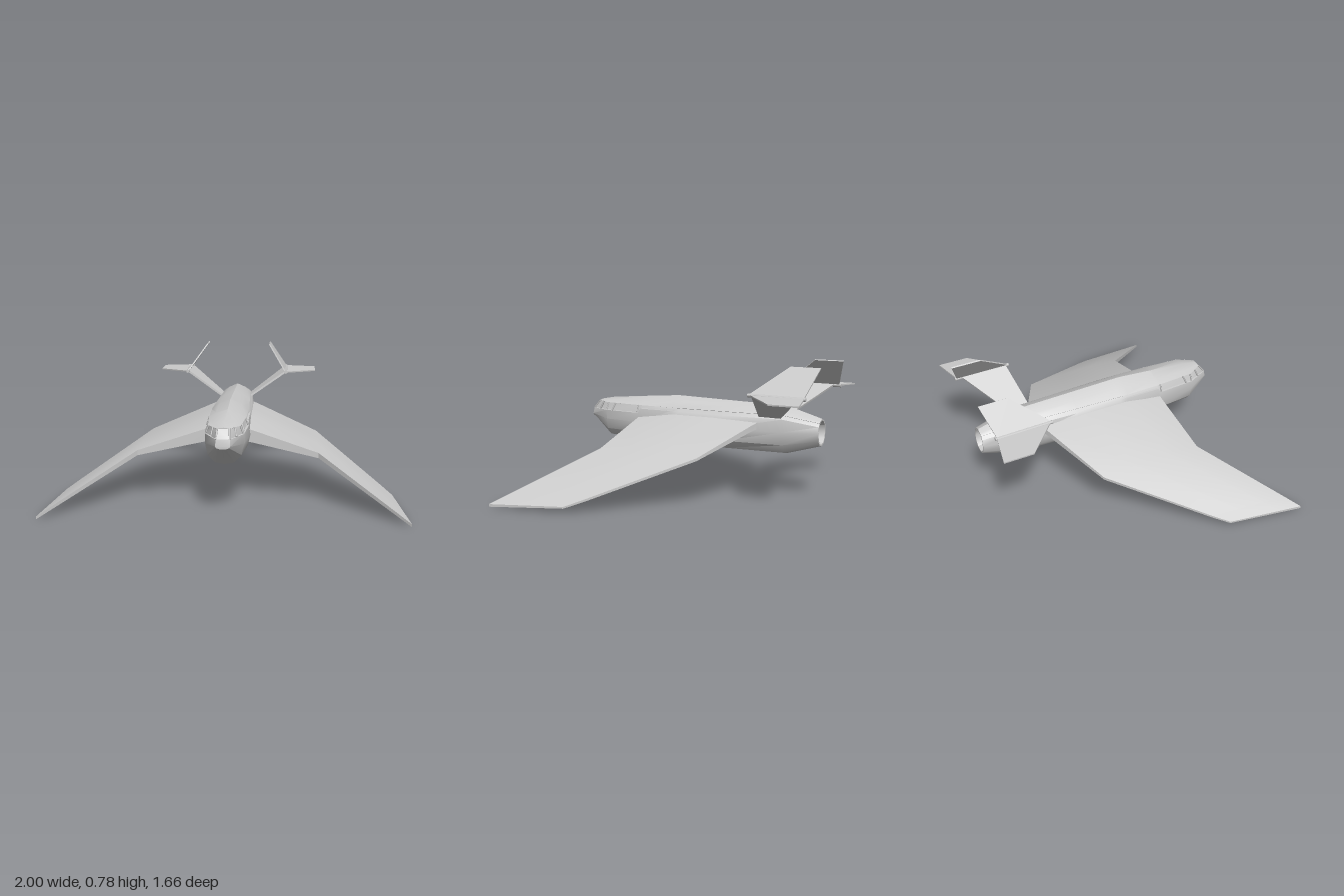
import * as THREE from 'three';
import { toCreasedNormals } from 'three/addons/utils/BufferGeometryUtils.js';

const grey = new THREE.MeshStandardMaterial({ color: 0xcccccc });

// Skin closed rings of [x, y, z] points; each ring runs anticlockwise seen from the first end.
function loft(rings, crease = 0.6) {
  const n = rings[0].length, index = [];
  const quad = (a, b, c, d) => {
    if (b !== c) index.push(a, b, c);
    if (a !== d && c !== d) index.push(a, c, d);
  };
  for (let r = 0; r < rings.length - 1; r++) {
    for (let i = 0; i < n; i++) {
      const j = (i + 1) % n, p = r * n, q = p + n;
      quad(p + i, q + i, q + j, p + j);
    }
  }
  // End caps, bridged side to side
  const last = (rings.length - 1) * n;
  for (let i = 0; i < n / 2; i++) {
    const a = i, b = i + 1, c = n - i - 1, d = (n - i) % n;
    if (a !== d) quad(a, b, c, d); else index.push(a, b, c);
    if (a !== d) quad(last + d, last + c, last + b, last + a);
    else index.push(last + c, last + b, last + a);
  }
  const g = new THREE.BufferGeometry();
  g.setAttribute('position', new THREE.Float32BufferAttribute(rings.flat(2), 3));
  g.setIndex(index);
  return toCreasedNormals(g, crease);
}

function add(parent, name, geometry) {
  const mesh = new THREE.Mesh(geometry, grey);
  mesh.name = name;
  parent.add(mesh);
  return mesh;
}

// Thin plate from four corners
function plate(corners, thickness) {
  const v = corners.map(c => new THREE.Vector3(...c));
  const n = v[1].clone().sub(v[0]).cross(v[3].clone().sub(v[0])).setLength(thickness / 2);
  const side = s => v.map(p => p.clone().addScaledVector(n, s).toArray());
  return loft([side(1), side(-1)]);
}

// Straight bar between two points
function bar(a, b, radius, sides = 6) {
  const p = new THREE.Vector3(...a), d = new THREE.Vector3(...b).sub(p);
  const g = new THREE.CylinderGeometry(radius, radius, d.length(), sides);
  g.applyQuaternion(new THREE.Quaternion().setFromUnitVectors(
    new THREE.Vector3(0, 1, 0), d.clone().normalize()));
  return g.translate(...p.addScaledVector(d, 0.5).toArray());
}

// Fuselage section with a recessed window band between shelf and roof edge
function section([z, rake, bottom, mid, w, shelfY, shelfW, roofY, roofW, top, groove]) {
  const h = mid - bottom, zs = z - rake * 0.15, zr = z - rake;
  const half = [
    [0, bottom, z],
    [w * 0.5, bottom + h * 0.08, z],
    [w * 0.87, bottom + h * 0.45, z],
    [w, mid, z],
    [shelfW, shelfY, zs],
    [shelfW - groove, shelfY + 0.001, zs],
    [roofW - groove, roofY - 0.002, zr],
    [roofW, roofY, zr],
    [roofW * 0.62, roofY + (top - roofY) * 0.5, zr],
    [0, top, zr],
  ];
  return [...half, ...half.slice(1, -1).reverse().map(([x, y, zz]) => [-x, y, zz])];
}

export function createModel() {
  const model = new THREE.Group();
  model.name = 'aircraft';

  // Fuselage: z, rake, bottom, mid, width, shelf y/w, roof y/w, top, groove
  const rings = [
    [0.74, 0.05, 0.385, 0.4, 0.04, 0.437, 0.038, 0.487, 0.034, 0.493, 0.003],
    [0.6, 0, 0.27, 0.385, 0.107, 0.44, 0.106, 0.487, 0.09, 0.51, 0.01],
    [0.37, 0, 0.265, 0.385, 0.13, 0.44, 0.122, 0.487, 0.106, 0.53, 0.012],
    [0.35, 0, 0.264, 0.385, 0.132, 0.467, 0.118, 0.487, 0.107, 0.532, 0.012],
    [0.14, 0, 0.256, 0.385, 0.14, 0.467, 0.118, 0.487, 0.11, 0.549, 0.01],
    [0.09, 0, 0.255, 0.385, 0.14, 0.467, 0.118, 0.487, 0.11, 0.548, 0.001],
    [-0.2, 0, 0.25, 0.39, 0.135, 0.465, 0.115, 0.487, 0.1, 0.541, 0.001],
    [-0.57, 0, 0.25, 0.39, 0.108, 0.465, 0.1, 0.487, 0.085, 0.532, 0.001],
    [-0.78, 0, 0.31, 0.39, 0.068, 0.43, 0.06, 0.45, 0.046, 0.47, 0.001],
  ].map(section);
  // Hollow exhaust
  const inset = (s, z) => rings[8].map(([x, y]) => [x * s, 0.39 + (y - 0.39) * s, z]);
  rings.push(inset(0.88, -0.78), inset(0.8, -0.68));
  add(model, 'fuselage', loft(rings, 0.55));

  // Wing stations, root to tip: leading x, z, low, top; trailing x, z, low, top; camber
  const wing = [
    [0.09, 0.36, 0.348, 0.425, 0.09, -0.435, 0.405, 0.445, 0.03],
    [0.145, 0.36, 0.338, 0.41, 0.15, -0.405, 0.39, 0.425, 0.025],
    [0.52, 0.39, 0.26, 0.29, 0.52, -0.23, 0.272, 0.288, 0.012],
    [0.93, 0.766, 0.042, 0.06, 0.885, 0.28, 0.067, 0.08, 0.004],
    [1.0, 0.83, 0.005, 0.02, 0.945, 0.37, 0.035, 0.045, 0],
  ];
  const wingRings = s => wing.map(([lx, lz, lb, lt, tx, tz, tb, tt, camber]) => {
    const upper = (t, k) => [s * (lx + (tx - lx) * t), lt + (tt - lt) * t + camber * k, lz + (tz - lz) * t];
    const ring = [[s * lx, lb, lz], upper(0, 0), upper(0.3, 1), upper(0.65, 0.7), upper(1, 0), [s * tx, tb, tz]];
    return s > 0 ? ring : ring.reverse();
  });

  for (const s of [1, -1]) {
    const side = s > 0 ? 'left' : 'right';
    const m = ([x, y, z]) => [s * x, y, z];
    add(model, side + 'Wing', loft(wingRings(s), 0.6));

    // Tail: strut fin, rod at its end, then an upright and an outward fin
    const tail = new THREE.Group();
    tail.name = side + 'Tail';
    model.add(tail);
    add(tail, 'strutFin', plate([[0.085, 0.468, -0.425], [0.32, 0.628, -0.47],
      [0.32, 0.628, -0.75], [0.085, 0.468, -0.555]].map(m), 0.012));
    add(tail, 'finRod', bar(m([0.322, 0.628, -0.45]), m([0.322, 0.624, -0.79]), 0.011));
    add(tail, 'uprightFin', plate([[0.32, 0.63, -0.455], [0.21, 0.785, -0.66],
      [0.21, 0.785, -0.835], [0.32, 0.63, -0.78]].map(m), 0.008));
    add(tail, 'outerFin', plate([[0.32, 0.626, -0.46], [0.518, 0.614, -0.645],
      [0.518, 0.614, -0.82], [0.32, 0.626, -0.78]].map(m), 0.008));

    // Window posts
    const posts = [
      [[0.037, 0.437, 0.731], [0.033, 0.487, 0.69]],
      [[0.07, 0.439, 0.667], [0.06, 0.487, 0.645]],
      [[0.104, 0.44, 0.6], [0.087, 0.487, 0.595]],
      [[0.107, 0.44, 0.56], [0.092, 0.487, 0.54]],
      [[0.119, 0.44, 0.372], [0.103, 0.487, 0.372]],
    ];
    for (const [a, b] of posts) add(model, side + 'WindowPost', bar(m(a), m(b), 0.005, 4));
  }
  return model;
}
